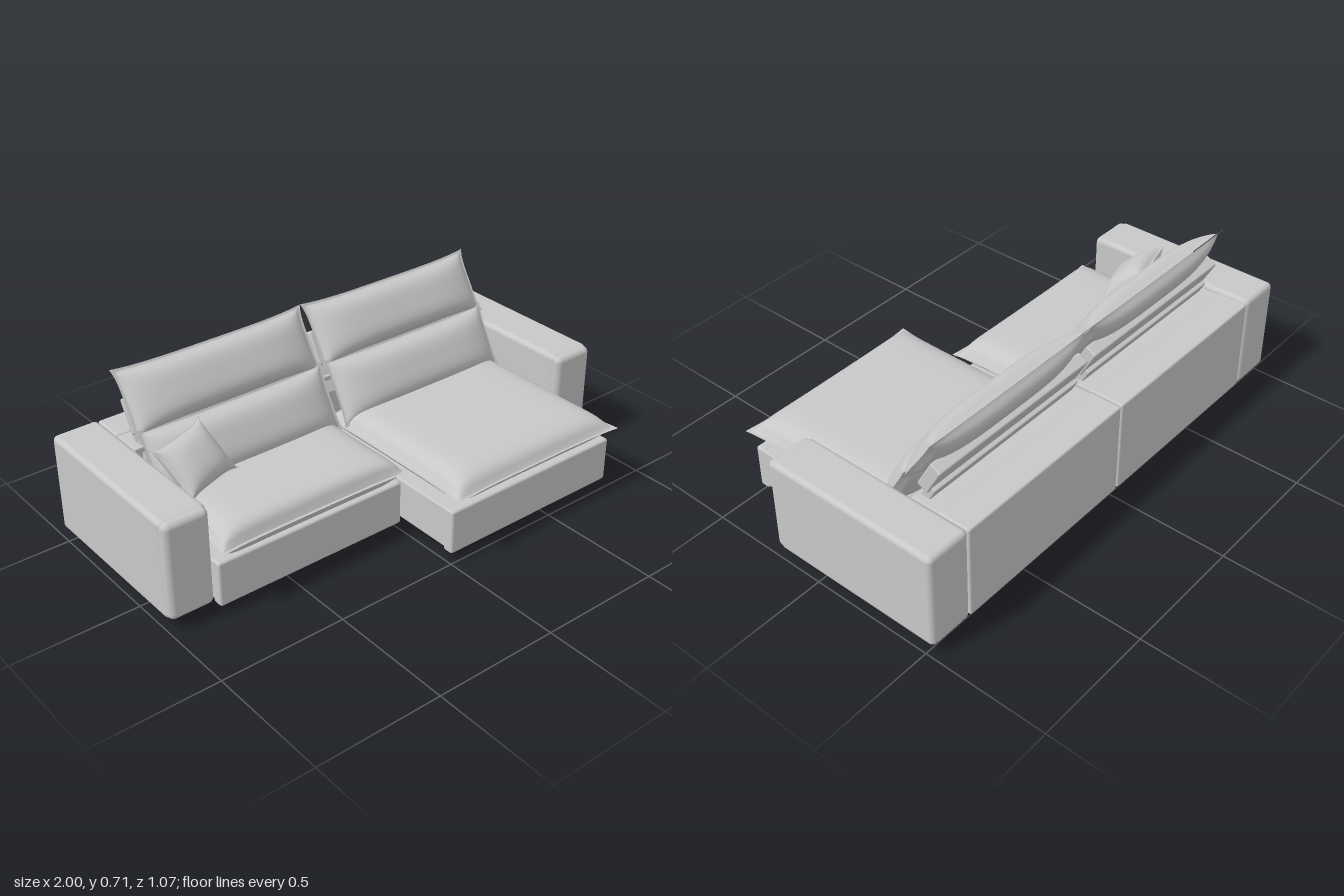
import * as THREE from 'three';
import { mergeGeometries } from 'three/addons/utils/BufferGeometryUtils.js';
import { RoundedBoxGeometry } from 'three/addons/geometries/RoundedBoxGeometry.js';

export function createModel() {
  const model = new THREE.Group();
  const fabric = new THREE.MeshStandardMaterial({ color: 0xc8c8c8 });
  fabric.name = 'light grey fabric';

  function add(name, geometry) {
    const mesh = new THREE.Mesh(geometry, fabric);
    mesh.name = name;
    model.add(mesh);
    return mesh;
  }

  // Rounded block given by its limits on each axis
  function block(name, [x0, x1], [y0, y1], [z0, z1], radius) {
    const g = new RoundedBoxGeometry(x1 - x0, y1 - y0, z1 - z0, 3, radius);
    const mesh = add(name, g);
    mesh.position.set((x0 + x1) / 2, (y0 + y1) / 2, (z0 + z1) / 2);
    return mesh;
  }

  // Stuffed cushion in the xy plane with a thin flange and pointed corners
  function cushionGeometry(w, h, front, back, { full = 4, pinch = 0.02, flange = 0.015 } = {}) {
    const half = new THREE.PlaneGeometry(2, 2, 36, 36);
    const p = half.attributes.position;
    const swell = (s, size) => {
      const e = Math.min(1, Math.abs(s) / (1 - (2 * flange) / size));
      return Math.sqrt(1 - Math.pow(e, full));
    };
    for (let i = 0; i < p.count; i++) {
      const u = Math.sin((p.getX(i) * Math.PI) / 2);
      const v = Math.sin((p.getY(i) * Math.PI) / 2);
      p.setXYZ(i,
        (w / 2) * u - Math.sign(u) * pinch * (1 - v ** 4) * u * u,
        (h / 2) * v - Math.sign(v) * pinch * (1 - u ** 4) * v * v,
        0.002 / front + swell(u, w) * swell(v, h));
    }
    const other = half.clone().rotateY(Math.PI).scale(1, 1, back);
    half.scale(1, 1, front);
    half.computeVertexNormals();
    other.computeVertexNormals();
    return mergeGeometries([half, other]);
  }

  // Place a cushion by centre, across direction and up direction
  function orient(mesh, centre, across, up) {
    const x = new THREE.Vector3(...across).normalize();
    const z = x.clone().cross(new THREE.Vector3(...up)).normalize();
    const y = z.clone().cross(x);
    mesh.quaternion.setFromRotationMatrix(new THREE.Matrix4().makeBasis(x, y, z));
    mesh.position.set(...centre);
  }

  for (const side of [-1, 1]) {
    const label = side > 0 ? 'left' : 'right';
    const span = (a, b) => (side > 0 ? [a, b] : [-b, -a]);
    const baseFront = side > 0 ? 0.495 : 0.225;
    const seatFront = side > 0 ? 0.53 : 0.265;

    // Armrest with a separate padded front panel
    block(label + 'Arm', span(0.816, 1), [0.05, 0.445], [-0.535, 0.185], 0.02);
    block(label + 'ArmFrontPanel', span(0.818, 0.998), [0.052, 0.442], [0.14, 0.205], 0.024);

    // Base, its front panel and the rear panel
    block(label + 'SeatBase', span(0.004, 0.812), [0.055, 0.22], [-0.5, baseFront - 0.01], 0.006);
    block(label + 'BaseFrontPanel', span(0.004, 0.812), [0.04, 0.222], [baseFront - 0.045, baseFront], 0.01);
    block(label + 'BackPanel', span(0.003, 0.813), [0.05, 0.437], [-0.533, -0.398], 0.008);
    block(label + 'BackShelf', span(0.006, 0.81), [0.2, 0.432], [-0.41, -0.28], 0.005);

    // Feet under the arm and the rear centre
    for (const z of [0.135, -0.505]) {
      block(label + 'ArmFoot', span(0.84, 0.965), [0.036, 0.06], [z - 0.015, z + 0.015], 0.004);
    }
    block(label + 'CentreFoot', span(0.02, 0.145), [0.036, 0.06], [-0.52, -0.49], 0.004);

    // Reclining support: thick head slab on a thinner bracket
    const slab = block(label + 'HeadrestSupport', span(0.02, 0.79), [0.46, 0.595], [-0.375, -0.325], 0.007);
    slab.position.set(side * 0.405, 0.53, -0.342);
    slab.rotation.x = -0.5;
    const bracket = block(label + 'SupportBracket', span(0.03, 0.78), [0.35, 0.5], [-0.33, -0.29], 0.005);
    bracket.rotation.x = -0.5;

    // Seat cushion
    const depth = seatFront + 0.25;
    const seat = add(label + 'SeatCushion',
      cushionGeometry(0.825, depth, 0.065, 0.058, { full: 9, pinch: 0.014, flange: 0.018 }));
    orient(seat, [side * 0.41, 0.279, seatFront - depth / 2], [1, 0, 0], [0, 0, -1]);

    // Lower and upper back cushions
    const lower = add(label + 'BackCushion', cushionGeometry(0.81, 0.27, 0.072, 0.06, { full: 3.5, pinch: 0.01 }));
    orient(lower, [side * 0.41, 0.405, -0.185], [1, 0, 0], [0, 0.21, -0.12]);
    const upper = add(label + 'HeadCushion', cushionGeometry(0.825, 0.265, 0.066, 0.058, { full: 3.5, pinch: 0.013 }));
    orient(upper, [side * 0.413, 0.6, -0.313], [1, 0, 0], [0, 0.22, -0.14]);
  }

  // Loose pillow leaning in the corner
  const soft = { full: 2.6, pinch: 0.018, flange: 0.004 };
  const pillow = add('throwPillow', cushionGeometry(0.268, 0.235, 0.055, 0.055, soft));
  orient(pillow, [-0.69, 0.44, -0.08], [0.25, 0.01, -0.08], [-0.06, 0.16, -0.15]);

  // Second pillow tucked under the base
  const tucked = add('tuckedPillow', cushionGeometry(0.25, 0.225, 0.05, 0.05, soft));
  orient(tucked, [0.126, 0.077, -0.07], [0.25, -0.01, 0], [0, 0.13, -0.18]);

  return model;
}
